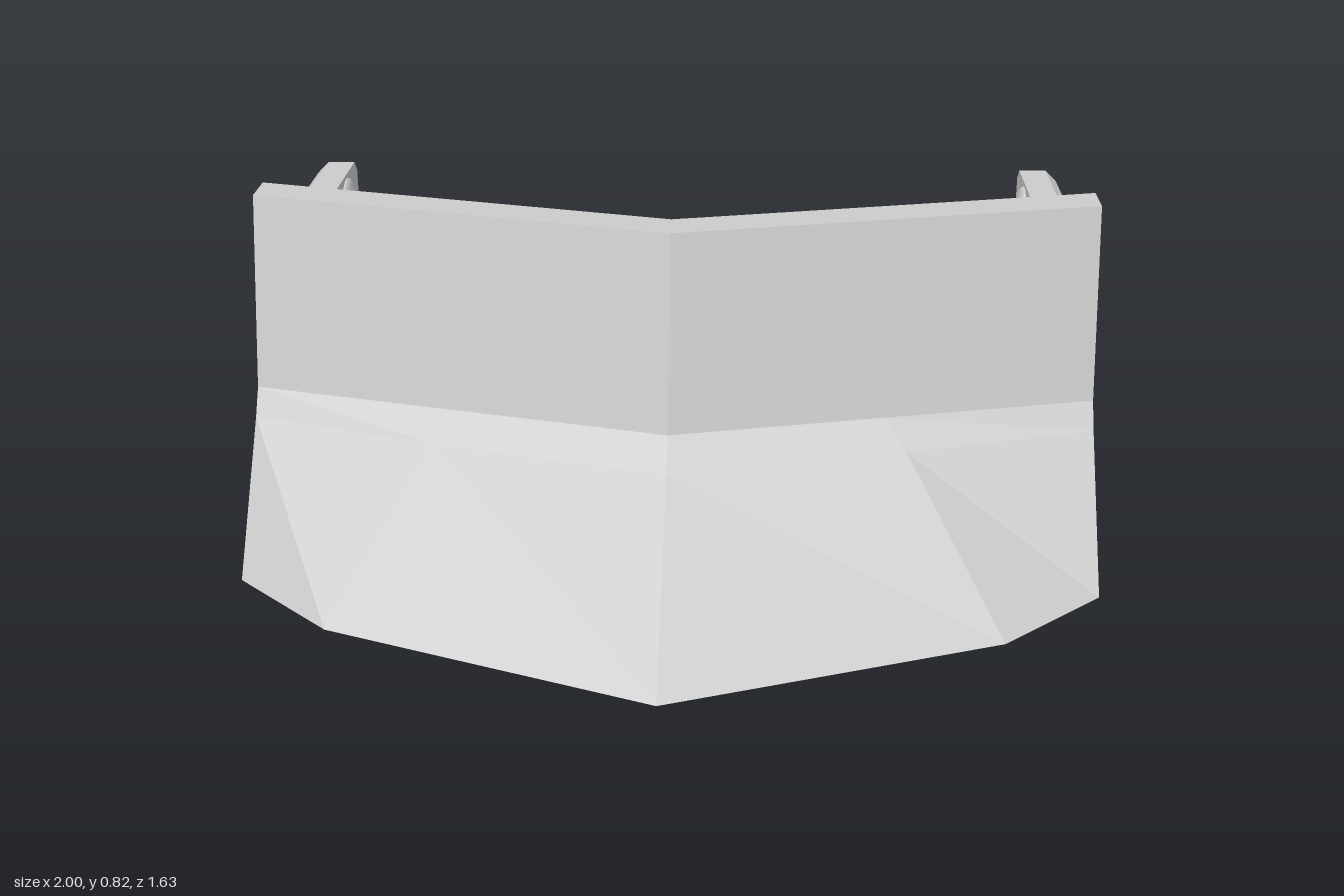
import * as THREE from 'three';

const material = new THREE.MeshStandardMaterial({ color: 0xcccccc, flatShading: true, side: THREE.DoubleSide });
const flipX = ([x, ...rest]) => [-x, ...rest];

// Surface through rows of [x, y, z] points; optionally closed around each row and capped at both ends.
function loft(rows, closed = false, capAxis = null) {
  const n = rows[0].length, index = [];
  for (let r = 0; r < rows.length - 1; r++) {
    for (let i = 0; i < (closed ? n : n - 1); i++) {
      const a = r * n + i, b = r * n + (i + 1) % n;
      index.push(a, b, a + n, b, b + n, a + n);
    }
  }
  if (capAxis) {
    for (const r of [0, rows.length - 1]) {
      const outline = rows[r].map(([x, y, z]) => new THREE.Vector2(capAxis === 'x' ? z : x, y));
      for (const [a, b, c] of THREE.ShapeUtils.triangulateShape(outline, [])) {
        index.push(r * n + a, r * n + b, r * n + c);
      }
    }
  }
  const geometry = new THREE.BufferGeometry();
  geometry.setAttribute('position', new THREE.Float32BufferAttribute(rows.flat(2), 3));
  geometry.setIndex(index);
  const flat = geometry.toNonIndexed();
  flat.computeVertexNormals();
  return flat;
}

// Full outline from a half outline that starts on the centre line.
const mirrorRing = (half) => [...half, ...half.slice(1).reverse().map(flipX)];

export function createModel() {
  const group = new THREE.Group();
  const add = (name, geometry, mat = material) => {
    const mesh = new THREE.Mesh(geometry, mat);
    mesh.name = name;
    group.add(mesh);
    return mesh;
  };

  // Hollow wedge body: foot outline and upper outline, front centre to back
  const foot = mirrorRing([[0, 0, 0.815], [0.76, 0, 0.53], [1, 0, 0.31], [0.9, 0, -0.44], [0.88, 0, -0.61],
    [0.82, 0, -0.61], [0.82, 0, -0.42], [0.65, 0, -0.2]]);
  const rim = mirrorRing([[0, 0.31, 0.34], [0.55, 0.31, 0.2], [1, 0.31, 0.06], [0.92, 0.25, -0.59],
    [0.9, 0.25, -0.79], [0.82, 0.25, -0.79], [0.82, 0.27, -0.62], [0.65, 0.28, -0.45]]);
  add('wedgeBody', loft([foot, rim], true));

  // Flat underside
  const sole = new THREE.ShapeGeometry(new THREE.Shape(foot.map(([x, , z]) => new THREE.Vector2(x, z))));
  add('underside', sole.rotateX(Math.PI / 2));

  // Narrow sloping band between the wedge and the upright blade
  const bandHalf = [[[0, 0.31, 0.34], [0.55, 0.31, 0.2], [1, 0.31, 0.06], [1, 0.31, -0.03]],
    [[0, 0.37, 0.26], [0.5, 0.37, 0.14], [1, 0.37, 0.02], [1, 0.37, -0.03]]];
  add('frontBand', loft(bandHalf.map((row) => [...row.slice(1).reverse().map(flipX), ...row])));

  // Sloping undersides where the deck and arms overhang the body
  const skirt = [[[1, 0.31, 0.06], [1, 0.32, -0.54], [1, 0.33, -0.79]],
    [[1, 0.31, 0.06], [0.92, 0.25, -0.59], [0.9, 0.25, -0.79]]];
  add('leftOverhang', loft(skirt));
  add('rightOverhang', loft(skirt.map((row) => row.map(flipX))));

  // Upright blade, bent at the centre and leaning back
  const bladeSection = (x, z) => [[x, 0.37, z], [x, 0.82, z - 0.105], [x, 0.82, z - 0.205], [x, 0.37, z - 0.1]];
  add('blade', loft([bladeSection(-1, 0.02), bladeSection(0, 0.26), bladeSection(1, 0.02)], true, 'x'));

  // Deck with a central opening and a slit at each side
  const v = ([x, z]) => new THREE.Vector2(x, -z);
  const deckHalf = [[1, 0.02], [1, -0.54], [0.88, -0.54], [0.72, -0.4]];
  const deck = new THREE.Shape([[0, 0.26], ...deckHalf, ...deckHalf.slice().reverse().map(flipX)].map(v));
  const opening = [[0, -0.04], [0.69, -0.15], [0.82, -0.28], [-0.82, -0.28], [-0.69, -0.15]];
  const slit = [[0.94, -0.19], [0.9, -0.17], [0.87, -0.33], [0.91, -0.39]];
  for (const hole of [opening, slit, slit.map(flipX)]) deck.holes.push(new THREE.Path(hole.map(v)));
  const deckGeometry = new THREE.ExtrudeGeometry(deck, { depth: 0.06, bevelEnabled: false });
  add('deck', deckGeometry.rotateX(-Math.PI / 2).translate(0, 0.31, 0));

  // Rib standing on the sole at the centre of the opening
  add('centreRib', new THREE.BoxGeometry(0.12, 0.36, 0.18).translate(0, 0.188, -0.11));

  // Rear U-shaped rail: section from outer line o, wall line m and ledge line i
  const railSection = (o, m, i, { tuck = 1, lowY = 0.37, lipY = 0.47, top = 0.69, crest = 1, base = 0.28 }) => {
    const at = (k, y) => [o[0] + (m[0] - o[0]) * k, y, o[1] + (m[1] - o[1]) * k];
    return [at(tuck, lowY), at(0, lipY), at(0, top - 0.03), at(0.3, top), at(crest, top), at(1, 0.48),
      [i[0], 0.34, i[1]], [i[0], base, i[1]]];
  };
  const arm = { tuck: 0, lowY: 0.33, lipY: 0.37, base: 0.25 };
  const railHalf = [
    railSection([0.97, -0.82], [0.9, -0.82], [0.82, -0.82], { ...arm, lowY: 0.32, top: 0.66, base: 0.29 }),
    railSection([1, -0.79], [0.9, -0.79], [0.82, -0.79], arm),
    railSection([1, -0.54], [0.9, -0.54], [0.82, -0.63], { ...arm, base: 0.26 }),
    railSection([1, -0.45], [0.9, -0.49], [0.82, -0.62], { base: 0.27 }),
    railSection([0.83, -0.27], [0.77, -0.36], [0.65, -0.45], {}),
    // lower middle stretch with a sloping inner wall
    railSection([0.65, -0.27], [0.65, -0.36], [0.65, -0.45], { top: 0.59, crest: 0.35 }),
  ];
  const railOther = railHalf.slice().reverse().map((section) => section.map(flipX));
  add('rearRail', loft([...railHalf, ...railOther], true, 'z'));

  // Rounded studs on the inner faces of the arms
  const studMaterial = new THREE.MeshStandardMaterial({ color: 0xcccccc });
  for (const side of [1, -1]) {
    const stud = add(side > 0 ? 'leftStud' : 'rightStud', new THREE.SphereGeometry(0.07, 20, 12), studMaterial);
    stud.scale.x = 0.3;
    stud.position.set(side * 0.9, 0.61, -0.67);
  }
  return group;
}
